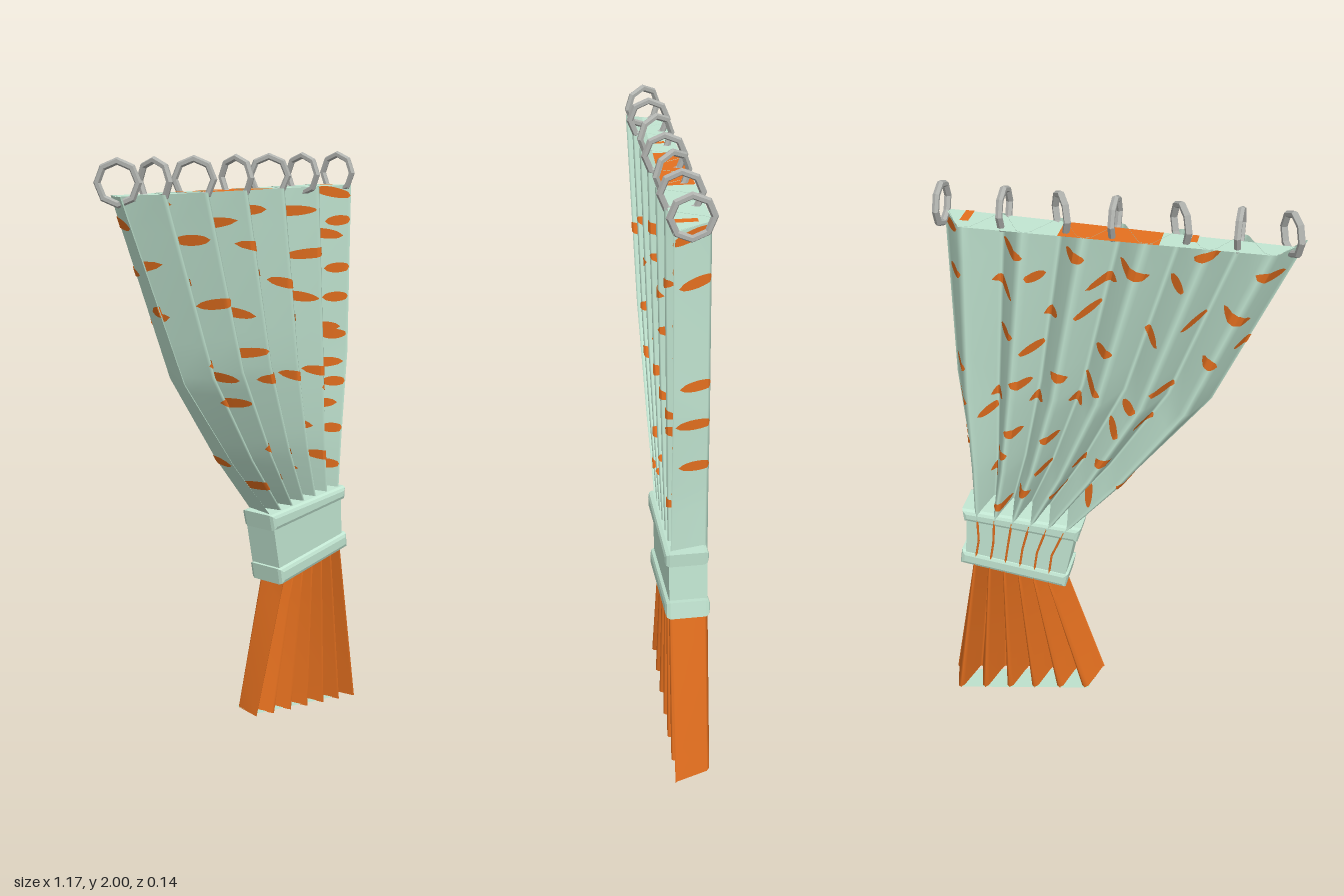
import * as THREE from 'three';

const mat = (name, color, extra = {}) => {
  const m = new THREE.MeshStandardMaterial({ color, side: THREE.DoubleSide, ...extra });
  m.name = name;
  return m;
};
const lerp = THREE.MathUtils.lerp;

// One pleat: [fraction of the period, depth]; six pleats across the cloth
const PLEATS = 6;
const PLEAT = [[0, 0.05], [0.06, 0.045], [0.38, -0.06], [0.5, -0.07], [0.62, -0.06], [0.94, 0.045], [1, 0.05]];
const FOLDS = [];
for (let i = 0; i < PLEATS; i++) for (const [t] of PLEAT.slice(0, -1)) FOLDS.push((i + t) / PLEATS);
FOLDS.push(1);

function depthAt(u) {
  const t = u >= 1 ? 1 : (u * PLEATS) % 1;
  let k = 1;
  while (k < PLEAT.length - 1 && PLEAT[k][0] < t) k++;
  const [t0, z0] = PLEAT[k - 1], [t1, z1] = PLEAT[k];
  return lerp(z0, z1, (t - t0) / (t1 - t0));
}

// Cloth rows: [left x, left y, right x, right y]
const UPPER = [[-0.585, 1.89, 0.507, 1.89], [-0.33, 1.32, 0.503, 1.32], [-0.1, 1.02, 0.477, 1.02], [0.1, 0.8, 0.463, 0.8]];
const LOWER = [[0.1, 0.8, 0.463, 0.82], [0.15, 0.69, 0.458, 0.72], [0.165, 0.58, 0.477, 0.62], [0.015, 0.11, 0.586, 0.002]];

function gridGeometry(columns, rows, point) {
  const pos = [], idx = [];
  for (let j = 0; j < rows; j++) for (let i = 0; i < columns; i++) pos.push(...point(i, j));
  for (let j = 0; j < rows - 1; j++) for (let i = 0; i < columns - 1; i++) {
    const a = j * columns + i, b = a + columns;
    idx.push(a, b, a + 1, b, b + 1, a + 1);
  }
  const g = new THREE.BufferGeometry();
  g.setAttribute('position', new THREE.Float32BufferAttribute(pos, 3));
  g.setIndex(idx);
  g.computeVertexNormals();
  return g;
}

// Pleated sheet through the rows, each span divided finely
function sheet(rows) {
  const steps = 5;
  return gridGeometry(FOLDS.length, (rows.length - 1) * steps + 1, (i, j) => {
    const k = Math.min(Math.floor(j / steps), rows.length - 2), f = j / steps - k;
    const r = rows[k].map((v, n) => lerp(v, rows[k + 1][n], f));
    const u = FOLDS[i];
    return [lerp(r[0], r[2], u), lerp(r[1], r[3], u), depthAt(u)];
  });
}

// Left and right edge of the upper cloth at a height
function edges(y) {
  let k = 0;
  while (k < UPPER.length - 2 && y < UPPER[k + 1][1]) k++;
  const a = UPPER[k], b = UPPER[k + 1], f = (y - a[1]) / (b[1] - a[1]);
  return [lerp(a[0], b[0], f), lerp(a[2], b[2], f)];
}

// Tapered motif that follows the folds, offset to one side of the cloth
function motif(cx, cy, halfLength, tilt, side) {
  const [l, r] = edges(cy), w = r - l;
  const a = halfLength * THREE.MathUtils.clamp(w, 0.6, 1);
  const u0 = (cx - a - l) / w, u1 = (cx + a - l) / w;
  const us = FOLDS.filter(u => u > u0 && u < u1);
  for (let i = 0; i <= 8; i++) us.push(lerp(u0, u1, i / 8));
  const cols = us.filter(u => u >= 0 && u <= 1).sort((p, q) => p - q);
  return gridGeometry(cols.length, 3, (i, j) => {
    const u = cols[i], s = ((u - u0) / (u1 - u0)) * 2 - 1;
    const h = 0.017 * Math.pow(Math.max(0, 1 - s * s), 0.6);
    const y = Math.min(1.888, cy + tilt * s * a + h * (1 - j));
    const [yl, yr] = edges(y);
    const ua = Math.max(0, u - 0.004), ub = Math.min(1, u + 0.004);
    const n = new THREE.Vector2(depthAt(ua) - depthAt(ub), (ub - ua) * (yr - yl)).normalize();
    return [lerp(yl, yr, u) + n.x * 0.003 * side, y, depthAt(u) + n.y * 0.003 * side];
  });
}

// Motif centres on the cloth, with a half length where it differs
const MOTIFS = [
  [-0.49, 1.81, 0.042], [-0.4, 1.67, 0.045], [-0.31, 1.865], [-0.42, 1.55, 0.026], [-0.22, 1.745, 0.028],
  [-0.09, 1.785, 0.05], [-0.14, 1.545], [-0.27, 1.62, 0.03], [0.01, 1.715, 0.045], [0.085, 1.82],
  [-0.18, 1.37, 0.042], [-0.33, 1.51, 0.028], [0, 1.5], [0.055, 1.625], [0.28, 1.81, 0.042],
  [0.32, 1.67, 0.045], [0.215, 1.73, 0.025], [0.175, 1.585, 0.03], [0.31, 1.525], [0.235, 1.47],
  [0.04, 1.365, 0.042], [0.27, 1.355], [-0.08, 1.3, 0.03], [-0.12, 1.23], [-0.03, 1.21],
  [0.1, 1.28], [0.14, 1.405, 0.03], [0.23, 1.27], [0.36, 1.27], [0.39, 1.215],
  [0.18, 1.16], [0.3, 1.17], [0.34, 1.08], [0, 1.1], [-0.07, 1.02],
  [0.09, 1.05], [0.21, 1.02], [0.27, 0.94], [0.38, 0.97], [0.06, 0.92],
  [0.16, 0.94], [0.35, 0.87], [0.47, 1.865, 0.035], [0.46, 1.725, 0.03], [0.462, 1.405, 0.03],
  [0.465, 1.28, 0.032], [0.455, 1.135, 0.03],
];
// Motifs on the right edge that show on the front only
const FRONT_MOTIFS = [[0.482, 1.77], [0.482, 1.61], [0.48, 1.51], [0.478, 1.38], [0.475, 1.215], [0.465, 1.05], [0.455, 0.92]];

// Flat four-cornered face: corners are [x, y, z]
function quad(...c) {
  const g = new THREE.BufferGeometry();
  g.setAttribute('position', new THREE.Float32BufferAttribute(c.flat(), 3));
  g.setIndex([0, 1, 2, 0, 2, 3]);
  g.computeVertexNormals();
  return g;
}

// Block with a four-cornered outline, bevelled, between two depths
function block(points, z0, z1, bevel) {
  const shape = new THREE.Shape(points.map(p => new THREE.Vector2(...p)));
  const g = new THREE.ExtrudeGeometry(shape, {
    depth: z1 - z0 - 2 * bevel, bevelEnabled: bevel > 0, bevelSize: bevel, bevelOffset: -bevel,
    bevelThickness: bevel, bevelSegments: 2,
  });
  return g.translate(0, 0, z0 + bevel);
}

export function createModel() {
  const model = new THREE.Group();
  const green = mat('pale green cloth', 0xc2e6d2);
  const orange = mat('orange cloth', 0xe5701f);
  const metal = mat('grey metal', 0xb0b2ae, { side: THREE.FrontSide, flatShading: true });
  const add = (name, geometry, material, parent = model) => {
    const m = new THREE.Mesh(geometry, material);
    m.name = name;
    parent.add(m);
    return m;
  };

  // Pleated cloth above and below the tie
  add('upperCurtain', sheet(UPPER), green);
  add('lowerCurtain', sheet(LOWER), orange);

  // Printed motifs
  const print = new THREE.Group();
  print.name = 'printedMotifs';
  model.add(print);
  MOTIFS.forEach(([x, y, halfLength = 0.034], i) => {
    const tilt = [0.25, 0.3, -0.35, -0.2, 0.1][i % 5];
    for (const side of [1, -1]) add('motif', motif(x, y, halfLength, tilt, side), orange, print);
  });
  for (const [x, y] of FRONT_MOTIFS) add('edgeMotif', motif(x, y, 0.022, 0.2, 1), orange, print);

  // Top hem closing the folds, with its printed patches
  const hem = (x0, x1, x2, x3, z0, z1, m, y = 1.889, back = -0.07) =>
    add('topHem', quad([x0, y, back], [x1, y, z0], [x2, y, z1], [x3, y, back]), m);
  hem(-0.505, -0.555, -0.17, -0.17, 0, 0.015, green);
  hem(-0.17, -0.17, 0.13, 0.13, 0.015, 0.03, orange);
  hem(0.13, 0.13, 0.503, 0.43, 0.03, 0.048, green);
  hem(-0.275, -0.275, -0.255, -0.255, 0.012, 0.012, orange, 1.892, -0.035);
  hem(0.41, 0.41, 0.437, 0.437, 0.042, 0.042, orange, 1.892, -0.03);

  // Bottom hem following the slanted lower edge
  const low = (x, z) => [x, 0.112 - (x - 0.015) * 0.189, z];
  add('bottomHem', quad(low(0.05, -0.07), low(0.535, -0.07), low(0.497, 0.028), low(0.03, 0.028)), green);

  // Tie band with a rim at each edge
  const tie = new THREE.Group();
  tie.name = 'tieBand';
  model.add(tie);
  add('tieBody', block([[0.132, 0.6], [0.482, 0.64], [0.47, 0.82], [0.092, 0.79]], -0.064, 0.056, 0), green, tie);
  add('tieTopRim', block([[0.087, 0.761], [0.483, 0.793], [0.487, 0.84], [0.073, 0.818]], -0.068, 0.07, 0.015), green, tie);
  add('tieBottomRim', block([[0.13, 0.561], [0.505, 0.611], [0.497, 0.667], [0.118, 0.62]], -0.071, 0.07, 0.015), green, tie);

  // Hanging rings, every other one turned
  [-0.543, -0.393, -0.222, -0.028, 0.133, 0.305, 0.497].forEach((x, i) => {
    const ring = add('hangingRing', new THREE.TorusGeometry(0.061, 0.011, 6, 8), metal);
    ring.position.set(x, 1.928, -0.002);
    ring.rotation.y = i % 2 || i === 6 ? Math.PI / 2 : -Math.PI / 3;
  });

  return model;
}
